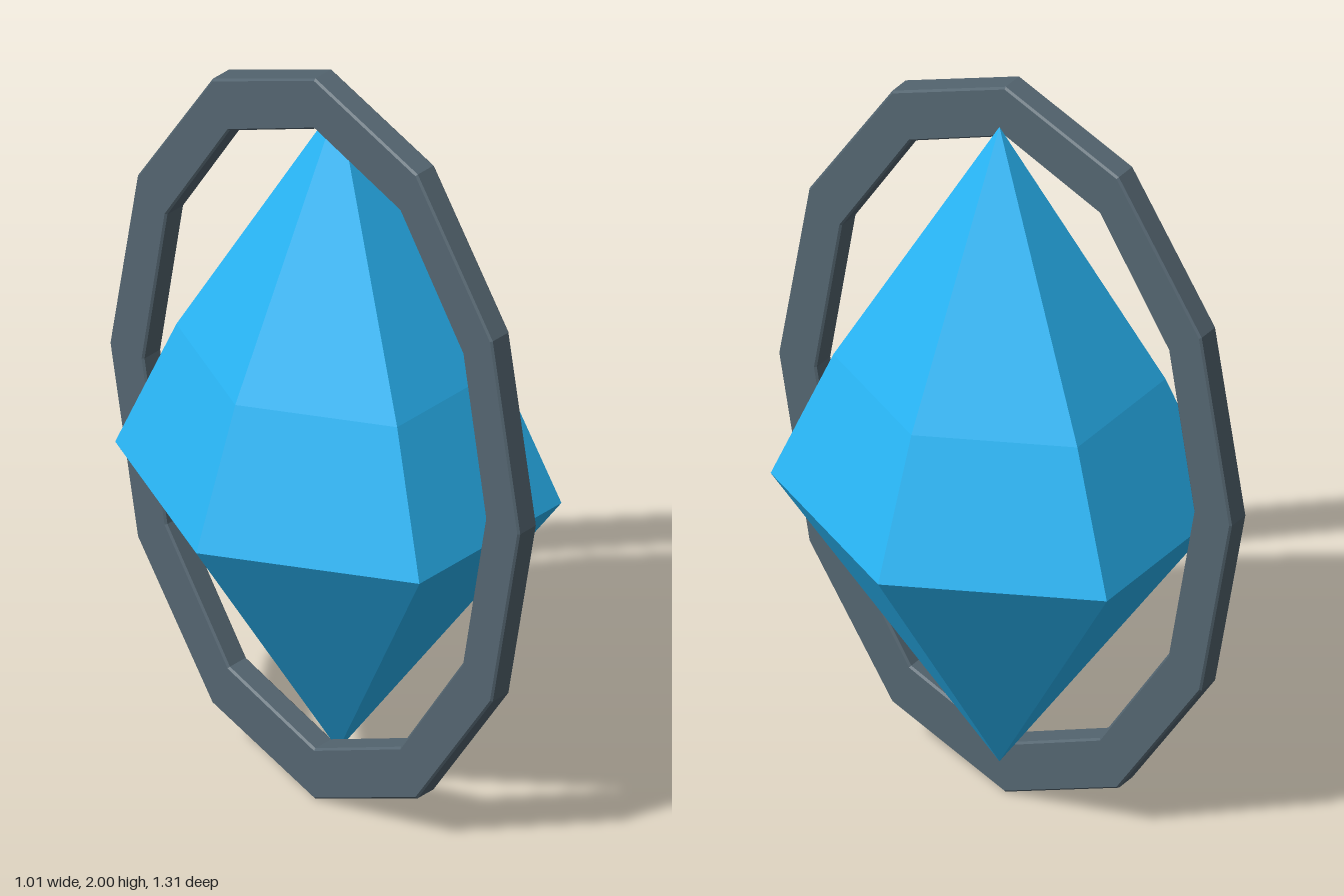
import * as THREE from 'three';

// Twelve-sided ellipse outline
function ellipsePoints(rx, ry) {
  const points = [];
  for (let i = 0; i < 12; i++) {
    const a = (i / 12) * Math.PI * 2;
    points.push(new THREE.Vector2(Math.cos(a) * rx, Math.sin(a) * ry));
  }
  return points;
}

export function createModel() {
  const model = new THREE.Group();
  model.name = 'ringedCrystal';

  // Six-sided crystal, slightly stretched along z
  const profile = [[0, 0.1], [0.503, 0.87], [0.365, 1.22], [0, 1.9]]
    .map(([r, y]) => new THREE.Vector2(r, y));
  const crystalGeometry = new THREE.LatheGeometry(profile, 6, Math.PI / 2);
  crystalGeometry.scale(1, 1, 1.12);
  const crystal = new THREE.Mesh(
    crystalGeometry,
    new THREE.MeshStandardMaterial({ color: 0x29b6f6, flatShading: true })
  );
  crystal.name = 'crystal';
  model.add(crystal);

  // Upright oval ring, just off the crystal's centre plane
  const outline = new THREE.Shape(ellipsePoints(0.657, 1));
  outline.holes.push(new THREE.Path(ellipsePoints(0.548, 0.86)));
  const bevel = 0.005;
  const ringGeometry = new THREE.ExtrudeGeometry(outline, {
    depth: 0.055,
    bevelEnabled: true,
    bevelThickness: bevel,
    bevelSize: bevel,
    bevelOffset: -bevel,
    bevelSegments: 1,
  });
  ringGeometry.rotateY(Math.PI / 2);
  const ring = new THREE.Mesh(
    ringGeometry,
    new THREE.MeshStandardMaterial({ color: 0x546570, flatShading: true })
  );
  ring.name = 'ring';
  ring.position.set(-0.081, 1, 0);
  model.add(ring);

  return model;
}
